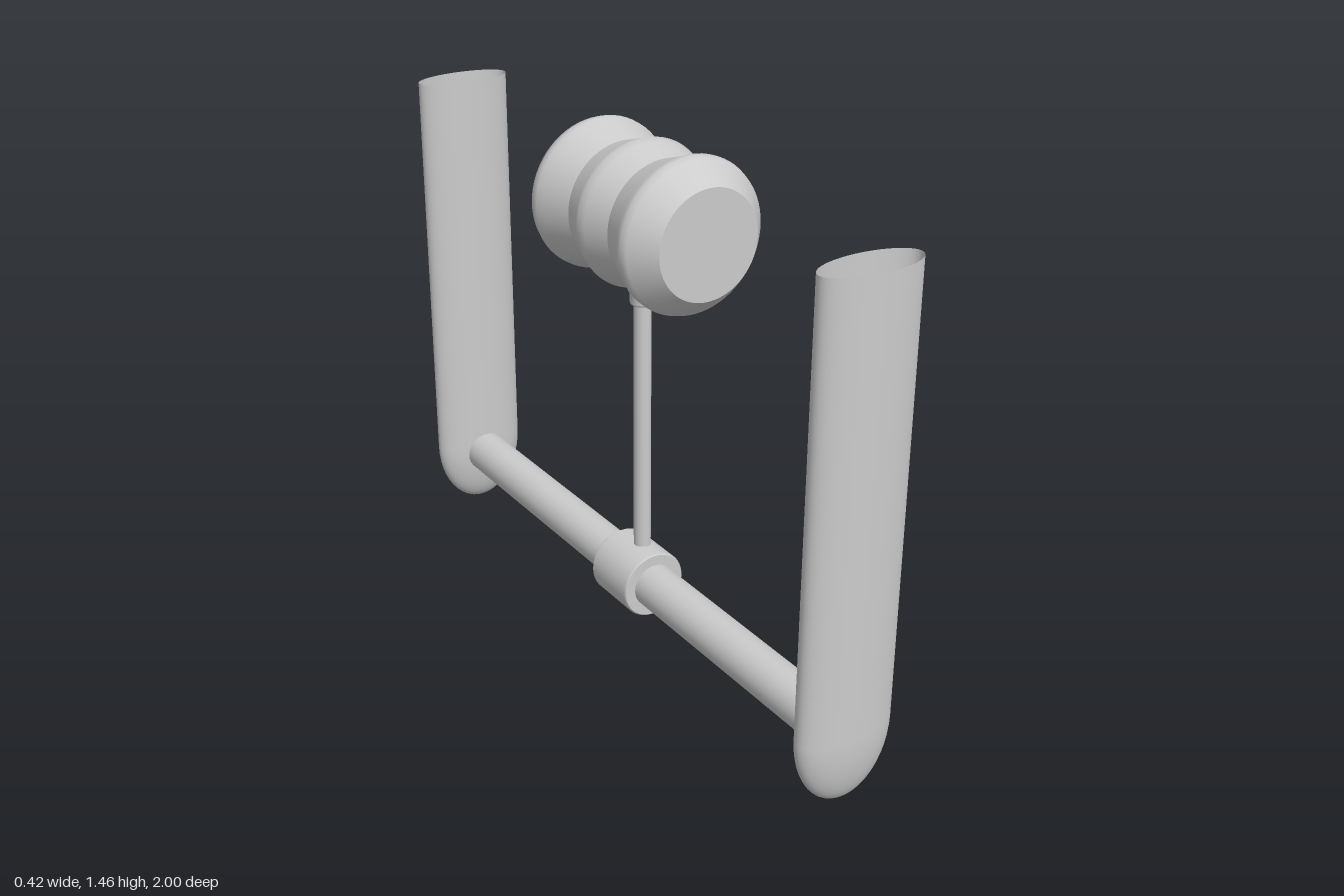
import * as THREE from 'three';

const material = new THREE.MeshStandardMaterial({ color: 0xcccccc, side: THREE.DoubleSide });

function add(parent, name, geometry, x = 0, y = 0, z = 0) {
  const mesh = new THREE.Mesh(geometry, material);
  mesh.name = name;
  mesh.position.set(x, y, z);
  parent.add(mesh);
  return mesh;
}

// Lathe from [radius, height] pairs, listed from low to high
const lathe = (pairs, segments = 48) =>
  new THREE.LatheGeometry(pairs.map(([r, h]) => new THREE.Vector2(r, h)), segments);

// Lathe or cylinder turned so that its axis runs along z
const alongZ = (geometry) => geometry.rotateX(Math.PI / 2);

export function createModel() {
  const model = new THREE.Group();
  model.name = 'swingingHammerStand';
  const barX = -0.02, barY = 0.187;

  // Hollow oval posts: open top, rounded bottom
  const postProfile = [];
  for (let i = 0; i <= 12; i++) {
    const a = (i / 12) * Math.PI / 2;
    postProfile.push([Math.sin(a), 0.21 - 0.205 * Math.cos(a)]);
  }
  postProfile.push([1, 1.41]);
  for (const [name, side] of [['frontPost', 1], ['backPost', -1]]) {
    const post = add(model, name, lathe(postProfile), -0.017, 0, side * 0.9375);
    post.scale.set(0.142, 1, 0.0625);
  }

  // Crossbar between the posts
  add(model, 'crossbar', alongZ(new THREE.CylinderGeometry(0.063, 0.063, 1.76, 40)), barX, barY, 0);

  // Sleeve around the crossbar, with slightly bevelled rims
  const sleeve = new THREE.Group();
  sleeve.name = 'sleeve';
  sleeve.position.set(barX, barY, 0.024);
  model.add(sleeve);
  add(sleeve, 'sleeveWall', alongZ(lathe([[0.093, -0.087], [0.0975, -0.081], [0.0975, 0.081], [0.093, 0.087]])));
  for (const side of [1, -1]) {
    const rim = add(sleeve, 'sleeveRim', new THREE.RingGeometry(0.06, 0.093, 48), 0, 0, side * 0.087);
    if (side < 0) rim.rotation.y = Math.PI;
  }

  // Rod and the small collar below the head
  const rodX = -0.01, rodZ = 0.035;
  add(model, 'rod', new THREE.CylinderGeometry(0.024, 0.024, 0.86, 24), rodX, 0.67, rodZ);
  add(model, 'collar', lathe([
    [0.024, 1.01], [0.032, 1.012], [0.034, 1.018], [0.034, 1.042], [0.039, 1.05], [0.039, 1.1],
  ], 32), rodX, 0, rodZ);

  // Head: three ridged bands with sharp grooves between them
  const head = new THREE.Group();
  head.name = 'head';
  head.position.set(0, 1.257, 0.0275);
  model.add(head);
  const endBand = [[0.172, 0.095], [0.2, 0.18], [0.208, 0.197], [0.209, 0.212], [0.203, 0.23], [0.148, 0.2925]];
  add(head, 'middleBand', alongZ(lathe([
    [0.172, -0.095], [0.195, -0.02], [0.202, 0], [0.195, 0.02], [0.172, 0.095],
  ], 64)));
  for (const [name, side] of [['front', 1], ['back', -1]]) {
    const end = new THREE.Group();
    end.name = name + 'End';
    end.rotation.y = side > 0 ? 0 : Math.PI;
    head.add(end);
    add(end, name + 'Band', alongZ(lathe(endBand, 64)));
    add(end, name + 'Face', new THREE.CircleGeometry(0.148, 64), 0, 0, 0.2925);
  }

  return model;
}
